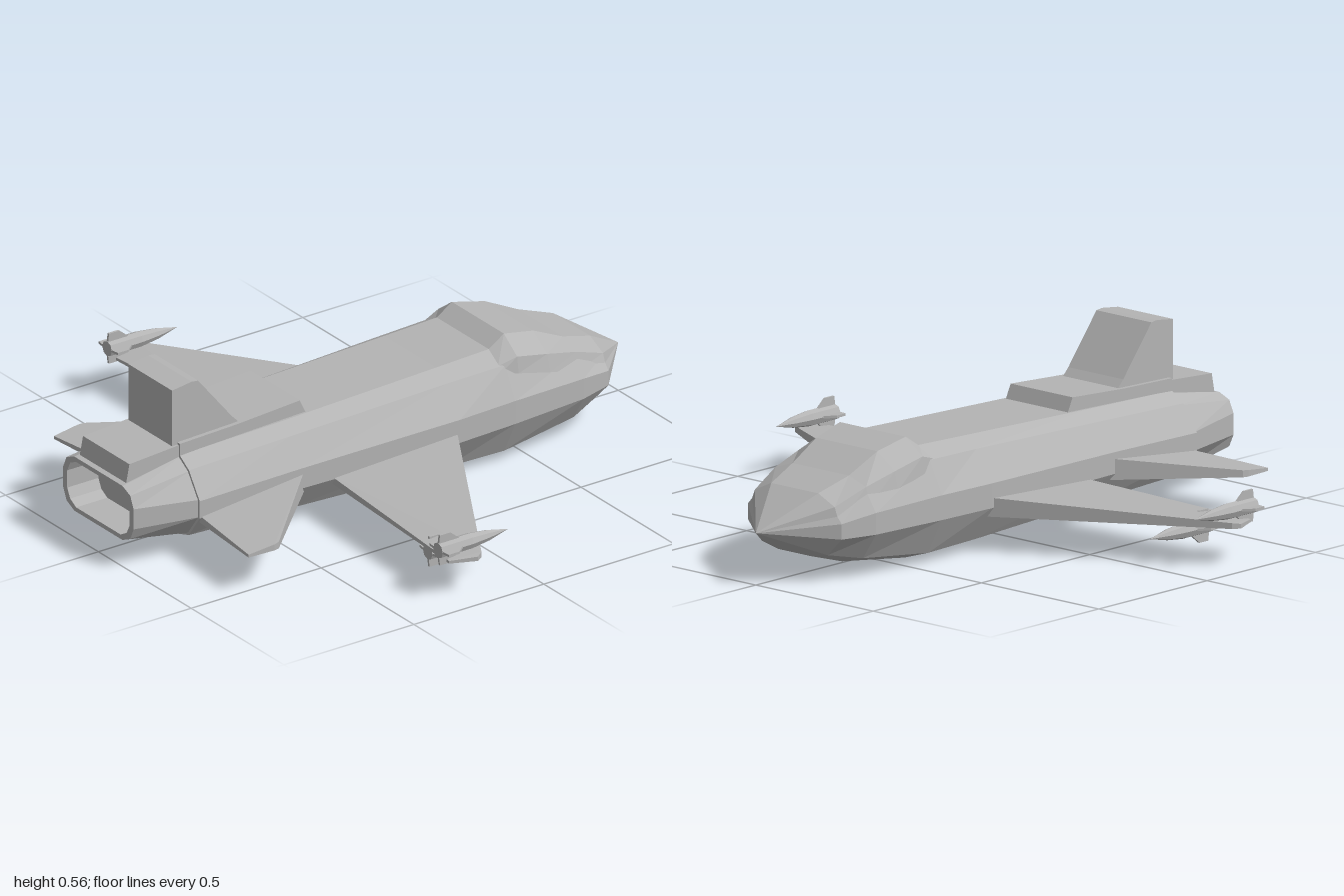
import * as THREE from 'three';
import { ConvexGeometry } from 'three/addons/geometries/ConvexGeometry.js';

const grey = new THREE.MeshStandardMaterial({ color: 0xb4b4b4, flatShading: true });
grey.name = 'hull grey';

function part(geometry, name, parent) {
  const mesh = new THREE.Mesh(geometry, grey);
  mesh.name = name;
  parent.add(mesh);
  return mesh;
}

// Skin between mirrored cross-sections: [z, right side points from bottom to top]
function loft(sections) {
  const rings = sections.map(([z, half]) => [
    ...half.map(([x, y]) => [x, y, z]),
    ...[...half].reverse().map(([x, y]) => [-x, y, z]),
  ]);
  const n = rings[0].length;
  const pos = [];
  for (let r = 0; r + 1 < rings.length; r++) {
    const b = rings[r], a = rings[r + 1];
    for (let i = 0; i < n; i++) {
      const j = (i + 1) % n;
      pos.push(...b[i], ...b[j], ...a[i], ...b[j], ...a[j], ...a[i]);
    }
  }
  const g = new THREE.BufferGeometry();
  g.setAttribute('position', new THREE.Float32BufferAttribute(pos, 3));
  g.computeVertexNormals();
  return g;
}

// Ring collapsed to one point, to close a loft
const point = (z, y, count) => [z, Array.from({ length: count }, () => [0, y])];

// Side profile in (z, y), extruded across x
function slab(profile, halfWidth) {
  const shape = new THREE.Shape(profile.map(([z, y]) => new THREE.Vector2(-z, y)));
  const g = new THREE.ExtrudeGeometry(shape, { depth: halfWidth * 2, bevelEnabled: false });
  g.translate(0, 0, -halfWidth);
  g.rotateY(Math.PI / 2);
  return g;
}

const hull = (z, bot, low, side, ys, shoulder, top) =>
  [z, [bot, low, [side, ys[0]], [side, ys[1]], shoulder, top]];

function buildMissile(name, x, y, z, side) {
  const missile = new THREE.Group();
  missile.name = name;
  const profile = [[0, 0], [0.026, 0], [0.026, 0.12], [0.018, 0.19], [0, 0.27]]
    .map(([r, h]) => new THREE.Vector2(r, h));
  const body = new THREE.LatheGeometry(profile, 8);
  body.rotateX(-Math.PI / 2);
  part(body, 'missileBody', missile);
  // Four swept tail fins
  for (let i = 0; i < 4; i++) {
    const shape = new THREE.Shape([[0.015, 0], [0.052, 0.005], [0.052, 0.045], [0.015, 0.09]]
      .map(([r, h]) => new THREE.Vector2(r, h)));
    const fin = new THREE.ExtrudeGeometry(shape, { depth: 0.008, bevelEnabled: false });
    fin.translate(0, 0, -0.004);
    fin.rotateX(-Math.PI / 2);
    part(fin, 'missileFin', missile).rotation.z = i * Math.PI / 2;
  }
  missile.position.set(x * side, y, z);
  return missile;
}

export function createModel() {
  const model = new THREE.Group();
  model.name = 'jet';

  // Faceted fuselage, nose towards -z
  part(loft([
    point(-1, 0.17, 6),
    hull(-0.82, [0.07, 0.075], [0.14, 0.09], 0.2, [0.15, 0.2], [0.165, 0.24], [0.1, 0.27]),
    hull(-0.7, [0.09, 0.04], [0.18, 0.065], 0.235, [0.15, 0.22], [0.19, 0.29], [0.12, 0.31]),
    hull(-0.42, [0.1, 0.003], [0.2, 0.035], 0.258, [0.15, 0.23], [0.205, 0.335], [0.14, 0.37]),
    hull(-0.2, [0.1, 0.01], [0.2, 0.04], 0.268, [0.15, 0.23], [0.2, 0.33], [0.14, 0.362]),
    hull(0.4, [0.1, 0.033], [0.19, 0.06], 0.248, [0.15, 0.22], [0.19, 0.31], [0.14, 0.342]),
    hull(0.78, [0.1, 0.045], [0.18, 0.07], 0.238, [0.15, 0.21], [0.18, 0.295], [0.13, 0.328]),
    point(0.78, 0.18, 6),
  ]), 'fuselage', model);

  // Canopy over the nose, raised above the spine at its rear edge
  part(loft([
    point(-1, 0.17, 3),
    [-0.82, [[0.19, 0.2], [0.17, 0.25], [0.1, 0.283]]],
    [-0.7, [[0.21, 0.24], [0.193, 0.297], [0.12, 0.322]]],
    [-0.58, [[0.22, 0.27], [0.205, 0.328], [0.13, 0.38]]],
    [-0.46, [[0.22, 0.3], [0.212, 0.355], [0.14, 0.407]]],
    [-0.395, [[0.21, 0.31], [0.2, 0.335], [0.14, 0.365]]],
    point(-0.395, 0.33, 3),
  ]), 'canopy', model);

  // Tapered exhaust with a recessed opening
  part(loft([
    hull(0.77, [0.1, 0.052], [0.175, 0.075], 0.23, [0.15, 0.21], [0.175, 0.29], [0.125, 0.322]),
    hull(1, [0.13, 0.095], [0.172, 0.115], 0.19, [0.155, 0.225], [0.172, 0.265], [0.13, 0.283]),
    hull(1, [0.12, 0.11], [0.152, 0.128], 0.168, [0.16, 0.22], [0.152, 0.253], [0.12, 0.268]),
    hull(0.88, [0.12, 0.11], [0.152, 0.128], 0.168, [0.16, 0.22], [0.152, 0.253], [0.12, 0.268]),
    point(0.88, 0.19, 6),
  ]), 'exhaust', model);

  // Dorsal block and broad tail fin
  part(slab([[0.29, 0.33], [0.32, 0.39], [0.56, 0.375], [0.78, 0.368], [0.78, 0.28]], 0.132),
    'dorsalBlock', model);
  part(slab([[0.76, 0.28], [0.76, 0.362], [0.97, 0.348], [0.985, 0.272]], 0.125),
    'rearDorsalBlock', model);
  part(slab([[0.53, 0.36], [0.57, 0.4], [0.7, 0.56], [0.725, 0.563], [0.8, 0.553], [0.8, 0.35]], 0.117),
    'tailFin', model);

  // Thin-tipped wings and tailplanes: each row is x, z, bottom y, top y
  const wing = [[0.2, -0.23, 0.12, 0.185], [0.2, 0.27, 0.13, 0.155],
    [0.93, 0.19, 0.123, 0.142], [0.947, 0.215, 0.123, 0.138], [0.91, 0.3, 0.123, 0.132]];
  const tailplane = [[0.2, 0.34, 0.13, 0.205], [0.2, 0.77, 0.13, 0.155],
    [0.525, 0.68, 0.132, 0.155], [0.53, 0.7, 0.132, 0.153], [0.525, 0.797, 0.132, 0.142]];
  for (const [label, s] of [['left', 1], ['right', -1]]) {
    const solid = (rows) => new ConvexGeometry(rows.flatMap(([x, z, lo, hi]) =>
      [new THREE.Vector3(x * s, lo, z), new THREE.Vector3(x * s, hi, z)]));
    part(solid(wing), label + 'Wing', model);
    part(solid(tailplane), label + 'Tailplane', model);

    // Wingtip and underwing missiles
    model.add(buildMissile(label + 'TipMissile', 0.892, 0.17, 0.33, s));
    model.add(buildMissile(label + 'UnderwingMissile', 0.755, 0.095, 0.272, s));
  }
  return model;
}
